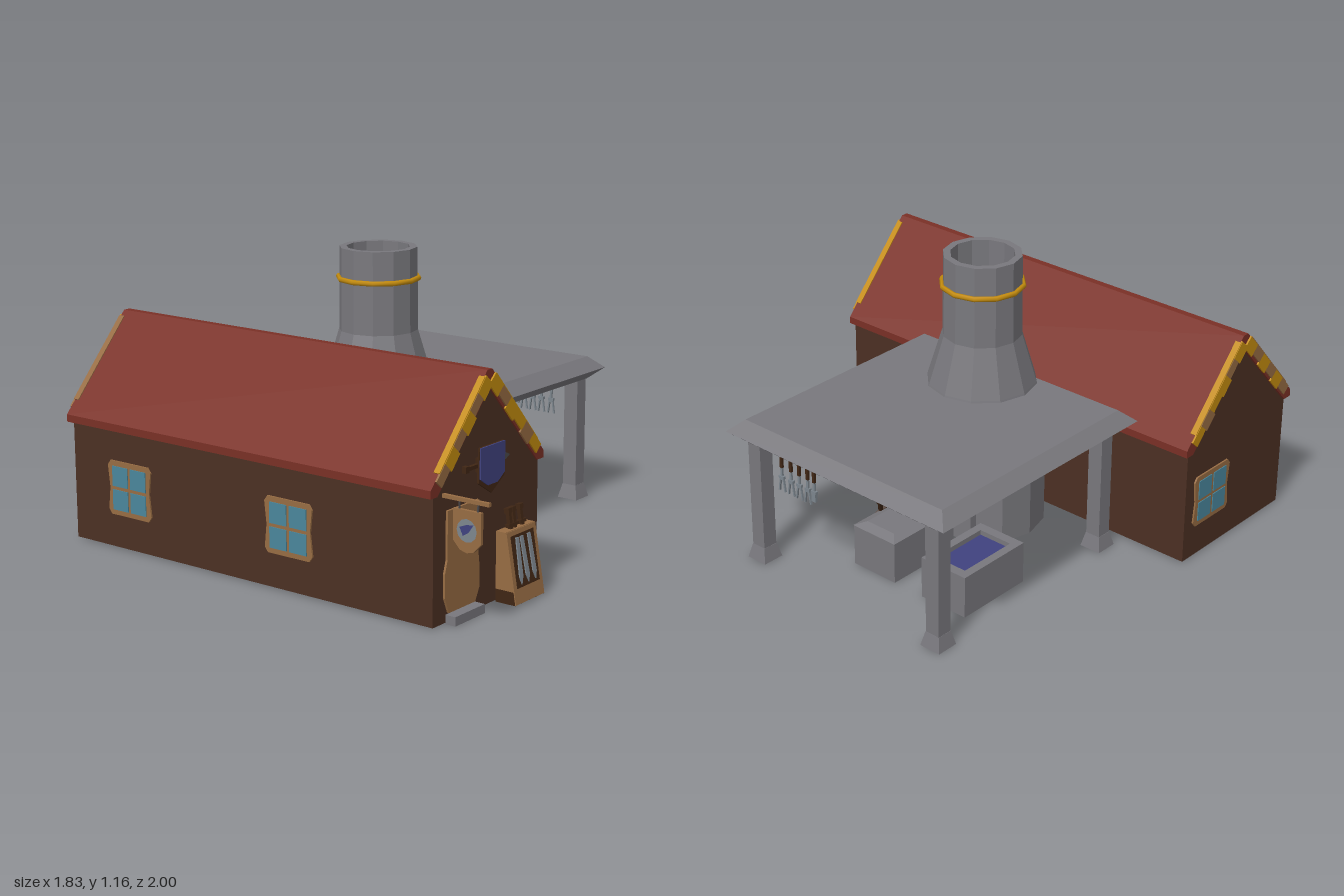
import * as THREE from 'three';

const mat = (name, color) => {
  const m = new THREE.MeshStandardMaterial({ color });
  m.name = name;
  return m;
};

export function createModel() {
  const model = new THREE.Group();
  model.name = 'smithy';
  const red = mat('roof red', 0x7a3026), wall = mat('wall brown', 0x4c3023), stone = mat('stone grey', 0x79787d),
    tan = mat('light wood', 0x976c43), gold = mat('gold', 0xc48c0e), glass = mat('window blue', 0x4a879c),
    blue = mat('deep blue', 0x40427f), steel = mat('steel', 0x7d868e), dark = mat('dark wood', 0x402614),
    iron = mat('dark iron', 0x4b4a4d);

  const flat = (g) => {
    const f = g.index ? g.toNonIndexed() : g;
    f.computeVertexNormals();
    return f;
  };
  const add = (name, geo, m, x = 0, y = 0, z = 0, parent = model) => {
    const mesh = new THREE.Mesh(geo, m);
    mesh.name = name;
    mesh.position.set(x, y, z);
    parent.add(mesh);
    return mesh;
  };
  const box = (name, m, w, h, d, x, y, z, parent) => add(name, new THREE.BoxGeometry(w, h, d), m, x, y, z, parent);
  const group = (name, x, y, z, parent = model) => {
    const g = new THREE.Group();
    g.name = name;
    g.position.set(x, y, z);
    parent.add(g);
    return g;
  };
  // box whose top is drawn in by an inset, or its bottom when atTop is false
  const taper = (w, h, d, inset, atTop = true) => {
    const g = new THREE.BoxGeometry(w, h, d), p = g.attributes.position;
    for (let i = 0; i < p.count; i++) {
      if ((p.getY(i) > 0) !== atTop) continue;
      p.setX(i, p.getX(i) - Math.sign(p.getX(i)) * inset);
      p.setZ(i, p.getZ(i) - Math.sign(p.getZ(i)) * inset);
    }
    return flat(g);
  };
  const shape = (pts) => new THREE.Shape(pts.map(([x, y]) => new THREE.Vector2(x, y)));
  const extrude = (pts, depth) => new THREE.ExtrudeGeometry(shape(pts), { depth, bevelEnabled: false });

  // sword pointing down: tip at the origin, handle up +y
  const sword = (name, x, y, z, len, w, parent = model) => {
    const g = group(name, x, y, z, parent), b = len * 0.68;
    add('blade', extrude([[0, 0], [w / 2, w], [w / 2, b], [-w / 2, b], [-w / 2, w]], 0.008), iron, 0, 0, -0.004, g);
    box('guard', dark, w * 2, 0.014, 0.016, 0, b, 0, g);
    box('handle', dark, 0.014, len * 0.28, 0.014, 0, b + len * 0.14, 0, g);
    box('pommel', dark, 0.024, 0.02, 0.02, 0, len - 0.01, 0, g);
    return g;
  };

  // House
  const cx = -0.565;
  add('houseBody', extrude([[-0.325, 0], [0.325, 0], [0.325, 0.5], [0, 0.85], [-0.325, 0.5]], 1.78), wall, cx, 0.005, -0.98);
  add('roof', extrude([[-0.35, 0.485], [-0.31, 0.485], [0, 0.82], [0.31, 0.485], [0.35, 0.485], [0.35, 0.515],
    [0.015, 0.885], [-0.015, 0.885], [-0.35, 0.515]], 1.80), red, cx, 0, -0.992);

  // Patchy gable boards and edge strips
  const slope = Math.atan2(0.37, 0.335), runs = [[tan, gold, tan, gold, tan, gold], [gold, tan, gold, gold, tan, gold]];
  for (const [end, z] of [[1, 0.811], [-1, -0.995]]) {
    for (const side of [-1, 1]) {
      const bar = group('gableTrim', cx + side * 0.35, 0.515, z);
      bar.rotation.z = side < 0 ? slope : -slope;
      runs[side < 0 ? 0 : 1].forEach((m, i) => {
        const h = 0.042 + 0.012 * (i % 2);
        box('gableBoard', m, 0.074, h, 0.008, -side * (0.075 + i * 0.073), -h / 2, 0, bar);
      });
      box('edgeStrip', end < 0 && side < 0 ? tan : gold, 0.40, 0.006, 0.026, -side * 0.27, 0.001, -end * 0.011, bar);
    }
  }

  // Door and step
  add('door', extrude([[-0.08, 0], [0.08, 0], [0.105, 0.05], [0.105, 0.13], [0.095, 0.2], [0.1, 0.38],
    [-0.09, 0.38], [-0.09, 0.2], [-0.105, 0.15], [-0.105, 0.06]], 0.009), tan, -0.725, 0.04, 0.8);
  box('doorStep', stone, 0.18, 0.035, 0.045, -0.725, 0.0175, 0.822);

  // Wall shield with a sword behind it
  add('shieldFrame', extrude([[-0.075, 0.18], [-0.08, 0.05], [0, 0], [0.08, 0.05], [0.075, 0.18]], 0.008), dark, cx, 0.432, 0.812);
  add('shieldFace', extrude([[-0.075, 0.18], [-0.075, 0.065], [-0.03, 0.035], [0.03, 0.035], [0.075, 0.065], [0.075, 0.18]], 0.006), blue, cx, 0.432, 0.82);
  sword('shieldSword', -0.44, 0.547, 0.808, 0.28, 0.026).rotation.z = Math.PI / 2;

  // Hanging sign
  box('signPole', tan, 0.014, 0.014, 0.2, -0.83, 0.48, 0.9);
  for (const z of [0.87, 0.95]) box('signHook', iron, 0.005, 0.04, 0.005, -0.83, 0.46, z);
  const sign = group('sign', -0.83, 0.29, 0.907);
  sign.rotation.y = Math.PI / 2;
  add('signBoard', extrude([[-0.06, 0.155], [-0.06, 0.04], [-0.03, 0.008], [0, 0], [0.03, 0.008], [0.06, 0.04], [0.06, 0.155]], 0.014), tan, 0, 0, -0.007, sign);
  for (const s of [1, -1]) {
    const face = group('signFace', 0, 0.082, s * 0.008, sign);
    if (s < 0) face.rotation.y = Math.PI;
    add('signDisc', new THREE.CircleGeometry(0.043, 12), steel, 0, 0, 0, face);
    add('signEmblem', new THREE.ShapeGeometry(shape([[-0.03, 0.01], [-0.015, -0.02], [0.01, -0.005], [0.03, 0.025], [0, 0.022]])), blue, 0, 0, 0.002, face);
  }

  // Windows
  const window4 = (x, z, turn) => {
    const g = group('window', x, 0.25, z);
    g.rotation.y = turn;
    add('windowFrame', extrude([[-0.1, -0.11], [0.1, -0.11], [0.115, -0.09], [0.105, 0], [0.115, 0.09], [0.1, 0.11],
      [-0.1, 0.11], [-0.115, 0.09], [-0.105, 0], [-0.115, -0.09]], 0.008), tan, 0, 0, 0, g);
    for (const i of [-1, 1]) for (const j of [-1, 1]) box('windowPane', glass, 0.082, 0.082, 0.005, i * 0.048, j * 0.048, 0.009, g);
  };
  window4(-0.405, -0.979, Math.PI);
  window4(-0.889, -0.675, -Math.PI / 2);
  window4(-0.889, 0.14, -Math.PI / 2);

  // Weapon racks leaning on the walls
  const rack = (x, z, turn) => {
    const g = group('weaponRack', x, 0.005, z);
    g.rotation.y = turn;
    const wedge = (name, pts, m) => add(name, extrude(pts, 0.185).rotateY(-Math.PI / 2), m, 0.0925, 0, 0, g);
    wedge('rackBase', [[0, 0], [0.088, 0], [0.08, 0.05], [0, 0.05]], dark);
    wedge('rackBody', [[0, 0.05], [0.08, 0.05], [0.042, 0.27], [0, 0.27]], tan);
    const front = group('rackFront', 0, 0, 0.089, g);
    front.rotation.x = -Math.atan2(0.046, 0.27);
    box('rackFrame', tan, 0.185, 0.27, 0.006, 0, 0.137, 0, front);
    box('rackPanel', dark, 0.145, 0.195, 0.006, 0, 0.157, 0.002, front);
    [-0.045, 0, 0.045].forEach((bx, i) => {
      const lean = [-0.04, 0.06, 0.05][i];
      const blade = add('rackBlade', extrude([[0, 0], [0.011, 0.03], [0.009, 0.175], [-0.009, 0.175], [-0.011, 0.03]], 0.005), steel, bx, 0.07, 0.005, front);
      blade.rotation.z = lean;
      box('rackHandle', dark, 0.015, 0.09, 0.015, bx - lean * 0.2, 0.305, -0.018, front);
      box('rackGuard', dark, 0.036, 0.012, 0.02, bx - lean * 0.2, 0.29, -0.018, front);
      box('rackPommel', dark, 0.022, 0.018, 0.022, bx - lean * 0.2, 0.345, -0.018, front);
    });
  };
  rack(-0.427, 0.81, 0);
  rack(-0.225, 0.59, Math.PI / 2);

  // Forge and chimney, cut flat on the hearth side
  const fx = -0.01, fz = -0.13;
  const profile = [[0, 0], [0.26, 0], [0.26, 0.36], [0.225, 0.6], [0.22, 0.62], [0.16, 0.82], [0.157, 1.155], [0.128, 1.155], [0.128, 0.75], [0, 0.75]];
  const forge = new THREE.LatheGeometry(profile.map(([r, y]) => new THREE.Vector2(r, y)), 12);
  const fp = forge.attributes.position;
  for (let i = 0; i < fp.count; i++) if (fp.getY(i) < 0.5) fp.setX(i, Math.min(fp.getX(i), 0.188));
  add('forge', flat(forge), stone, fx, 0.003, fz);
  add('chimneyRing', new THREE.TorusGeometry(0.162, 0.011, 6, 12).rotateX(Math.PI / 2), gold, fx, 1.033, fz);
  box('hearthBlock', stone, 0.06, 0.2, 0.27, 0.178, 0.1, fz);
  box('hearthLintel', stone, 0.06, 0.14, 0.27, 0.178, 0.45, fz);
  const plate = (name, pts, m, x) => {
    add(name, new THREE.ShapeGeometry(shape(pts)), m, x, 0.2, fz).rotation.y = Math.PI / 2;
  };
  plate('hearthBrick', [[-0.135, 0], [0.135, 0], [0.135, 0.18], [-0.135, 0.18]], red, 0.181);
  plate('hearthMouth', [[-0.125, 0], [0.125, 0], [0.125, 0.085], [0.07, 0.135], [0, 0.155], [-0.07, 0.13], [-0.125, 0.085]], tan, 0.184);
  plate('fire', [[-0.11, 0.01], [-0.02, 0], [0.11, 0.01], [0.115, 0.07], [0.06, 0.1], [0.01, 0.135], [-0.04, 0.1], [-0.115, 0.075]], gold, 0.187);

  // Canopy on four posts
  add('canopyTop', taper(1.12, 0.05, 1.125, 0.055), stone, 0.35, 0.59, -0.193);
  add('canopyUnderside', taper(1.12, 0.046, 1.125, 0.055, false), stone, 0.35, 0.542, -0.193);
  for (const x of [-0.125, 0.818]) for (const z of [0.28, -0.645]) {
    box('post', stone, 0.064, 0.47, 0.064, x, 0.29, z);
    add('postFoot', taper(0.094, 0.06, 0.094, 0.014), stone, x, 0.03, z);
  }

  // Work block and water trough
  box('workBlock', stone, 0.34, 0.175, 0.215, 0.45, 0.0875, -0.13);
  add('workBlockTop', taper(0.345, 0.016, 0.22, 0.04), stone, 0.45, 0.183, -0.13);
  box('troughBase', stone, 0.34, 0.14, 0.22, 0.45, 0.07, -0.49);
  for (const s of [-1, 1]) {
    box('troughRim', stone, 0.04, 0.035, 0.22, 0.45 + s * 0.15, 0.1575, -0.49);
    box('troughRim', stone, 0.26, 0.035, 0.035, 0.45, 0.1575, -0.49 + s * 0.0925);
  }
  box('water', blue, 0.26, 0.015, 0.15, 0.45, 0.147, -0.49);

  // Sword leaning on the work block
  sword('leaningSword', 0.38, 0.01, 0.06, 0.3, 0.036).quaternion.setFromUnitVectors(
    new THREE.Vector3(0, 1, 0), new THREE.Vector3(0.13, 0.24, -0.12).normalize());

  // Tools hung under the canopy edge
  [0.155, 0.105, 0.06, 0.015, -0.02].forEach((z, i) => {
    const tool = group('hangingTool', 0.825, 0, z);
    box('toolHandle', dark, 0.01, 0.07, 0.012, 0, 0.487, 0, tool);
    box('toolShaft', steel, 0.008, 0.06, 0.01, 0, 0.428, 0, tool);
    if (i === 4) box('toolHead', steel, 0.012, 0.04, 0.02, 0, 0.39, 0, tool);
    else for (const s of [-1, 1]) box('toolProng', steel, 0.008, 0.062, 0.006, 0, 0.38, s * 0.011, tool).rotation.x = -s * 0.15;
    box('toolJoint', steel, 0.012, 0.012, 0.026, 0, 0.41, 0, tool);
  });

  return model;
}
